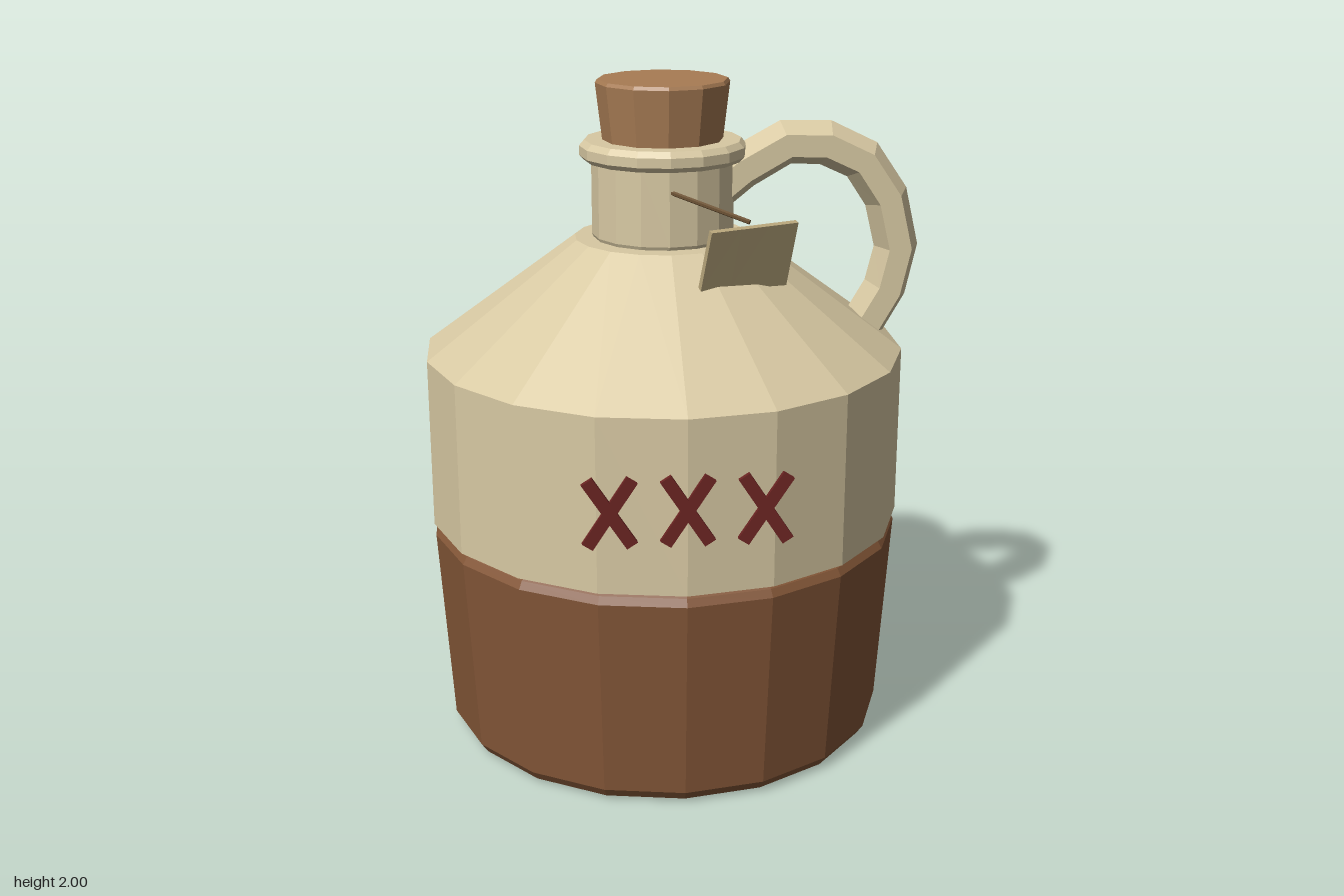
import * as THREE from 'three';

const CX = -0.035, CZ = -0.007; // axis of the jug

const mat = (color) => new THREE.MeshStandardMaterial({ color, flatShading: true });
const CREAM = mat(0xd8c9a3), BROWN = mat(0x835637), CORK = mat(0xa87c54);
const RED = mat(0x6b2422), PAPER = mat(0xb8a67c), STRING = mat(0x6b5030);

// Turned part: profile of [radius, height] from bottom to top
function turned(name, profile, sides, material) {
  const geo = new THREE.LatheGeometry(profile.map(([r, y]) => new THREE.Vector2(r, y)), sides);
  const mesh = new THREE.Mesh(geo, material);
  mesh.name = name;
  mesh.position.set(CX, 0, CZ);
  return mesh;
}

// Six-sided strap swept along a path in the xy plane
function strapGeometry(path, radial, halfWidth) {
  const pts = path.map(([x, y]) => new THREE.Vector2(x, y));
  const pos = [], idx = [], n = 6;
  pts.forEach((p, i) => {
    const t = pts[Math.min(i + 1, pts.length - 1)].clone().sub(pts[Math.max(i - 1, 0)]).normalize();
    for (let k = 0; k < n; k++) {
      const a = (k / n) * Math.PI * 2;
      const out = Math.cos(a) * radial;
      const side = (Math.sin(a) / Math.sin(Math.PI / 3)) * halfWidth;
      pos.push(p.x - t.y * out, p.y + t.x * out, side);
    }
  });
  for (let i = 0; i < pts.length - 1; i++) {
    for (let k = 0; k < n; k++) {
      const a = i * n + k, b = i * n + (k + 1) % n;
      idx.push(a, b, a + n, b, b + n, a + n);
    }
  }
  // end caps
  const last = (pts.length - 1) * n;
  for (let k = 1; k < n - 1; k++) {
    idx.push(0, k + 1, k, last, last + k, last + k + 1);
  }
  const geo = new THREE.BufferGeometry();
  geo.setAttribute('position', new THREE.Float32BufferAttribute(pos, 3));
  geo.setIndex(idx);
  geo.computeVertexNormals();
  return geo;
}

// Thin tag stretched between four corners: top left, top right, bottom left, bottom right
function tagGeometry(tl, tr, bl, br, thickness) {
  const geo = new THREE.BoxGeometry(1, 1, thickness, 3, 1, 1);
  const normal = tr.clone().sub(tl).cross(tl.clone().sub(bl)).normalize();
  const p = geo.attributes.position;
  for (let i = 0; i < p.count; i++) {
    const u = p.getX(i) + 0.5, v = p.getY(i) + 0.5;
    const top = tl.clone().lerp(tr, u), bottom = bl.clone().lerp(br, u);
    const q = bottom.lerp(top, v).addScaledVector(normal, p.getZ(i));
    p.setXYZ(i, q.x, q.y, q.z);
  }
  geo.computeVertexNormals();
  return geo;
}

export function createModel() {
  const jug = new THREE.Group();
  jug.name = 'jug';

  // Glazed lower body with bevelled rims
  jug.add(turned('lowerBody', [[0, 0], [0.635, 0], [0.66, 0.01], [0.68, 0.04],
    [0.718, 0.645], [0.705, 0.667], [0.68, 0.685]], 18, BROWN));

  // Upper body and sloping shoulder
  jug.add(turned('upperBody', [[0, 0.682], [0.722, 0.682], [0.722, 1.197],
    [0.265, 1.535], [0, 1.535]], 18, CREAM));

  // Neck and lip
  jug.add(turned('neck', [[0.205, 1.53], [0.212, 1.545], [0.212, 1.77]], 16, CREAM));
  jug.add(turned('lip', [[0.2, 1.762], [0.232, 1.765], [0.247, 1.78], [0.247, 1.808],
    [0.232, 1.825], [0, 1.825]], 16, CREAM));

  // Cork
  jug.add(turned('cork', [[0, 1.75], [0.17, 1.75], [0.198, 1.99], [0.192, 2], [0, 2]], 12, CORK));

  // Handle on the left side
  const handle = new THREE.Mesh(strapGeometry([[0.12, 1.67], [0.2, 1.735], [0.33, 1.808],
    [0.45, 1.805], [0.562, 1.752], [0.638, 1.64], [0.674, 1.49], [0.645, 1.36],
    [0.585, 1.255], [0.55, 1.2]], 0.067, 0.074), CREAM);
  handle.name = 'handle';
  handle.position.z = CZ;
  jug.add(handle);

  // Three crossed marks on the front
  for (let i = -1; i <= 1; i++) {
    const cross = new THREE.Group();
    cross.name = 'crossMark';
    cross.position.set(CX + i * 0.213, 0.938, 0.719);
    for (const s of [-1, 1]) {
      const bar = new THREE.Mesh(new THREE.BoxGeometry(0.035, 0.225, 0.014), RED);
      bar.name = 'crossBar';
      bar.rotation.z = s * 0.575;
      cross.add(bar);
    }
    jug.add(cross);
  }

  // Paper tag hanging in front of the shoulder
  const V = (x, y, z) => new THREE.Vector3(x, y, z);
  const tag = new THREE.Mesh(tagGeometry(V(0.06, 1.632, 0.396), V(0.32, 1.632, 0.284),
    V(0.035, 1.455, 0.35), V(0.297, 1.437, 0.232), 0.016), PAPER);
  tag.name = 'tag';
  jug.add(tag);

  // String from the neck to the tag
  const from = V(-0.035, 1.705, 0.195), to = V(0.18, 1.64, 0.318);
  const string = new THREE.Mesh(
    new THREE.CylinderGeometry(0.007, 0.007, from.distanceTo(to), 6), STRING);
  string.name = 'string';
  string.position.copy(from).lerp(to, 0.5);
  string.quaternion.setFromUnitVectors(V(0, 1, 0), to.clone().sub(from).normalize());
  jug.add(string);

  return jug;
}
